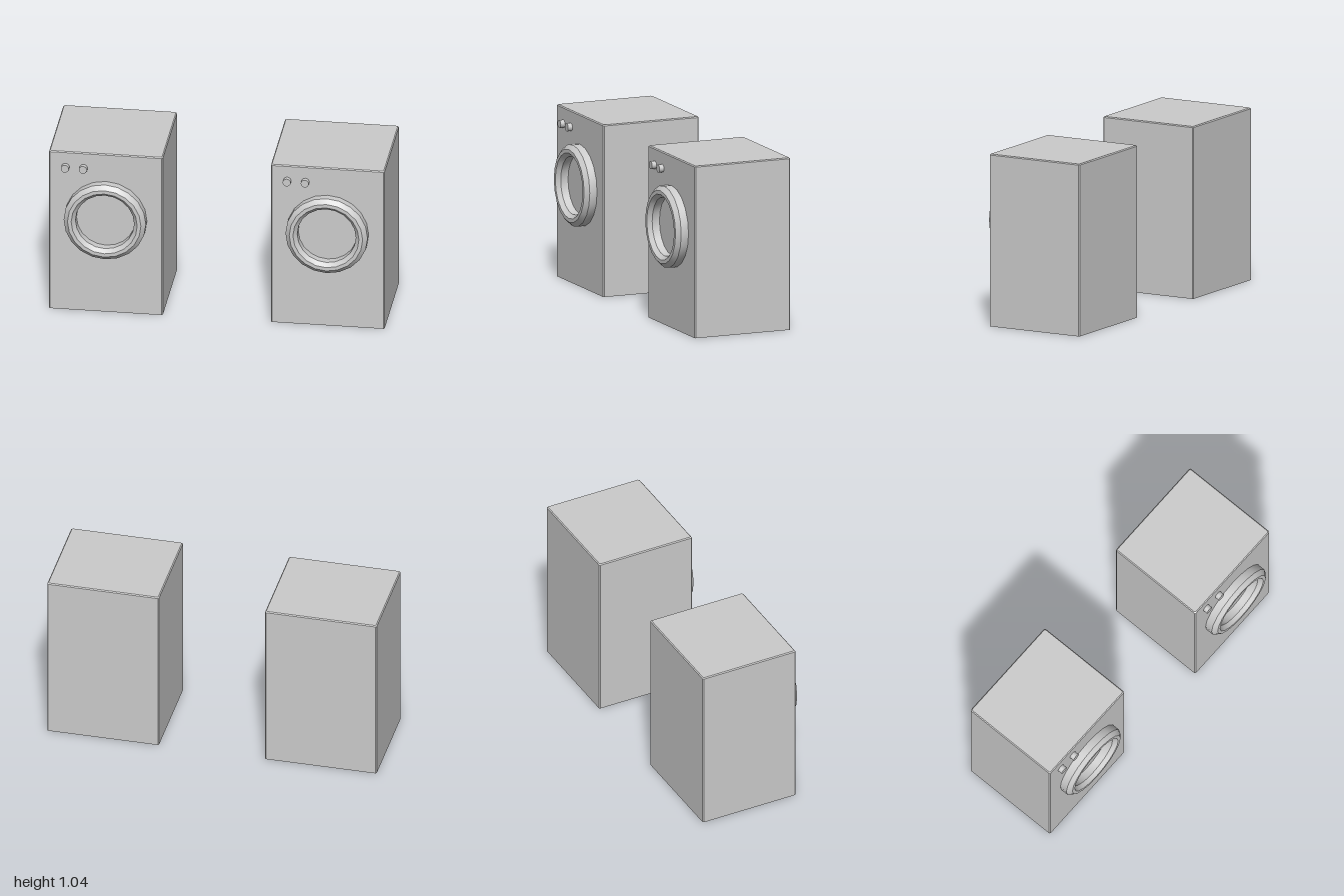
import * as THREE from 'three';
import { toCreasedNormals } from 'three/addons/utils/BufferGeometryUtils.js';

const W = 0.678, H = 1.037, BACK = -0.345, FRONT = 0.273;
const BEVEL = 0.006, DOOR_Y = 0.613, DOOR_R = 0.245, SIDES = 20;

const material = new THREE.MeshStandardMaterial({ color: 0xcccccc, side: THREE.DoubleSide });

function part(name, geometry, parent) {
  const mesh = new THREE.Mesh(geometry, material);
  mesh.name = name;
  parent.add(mesh);
  return mesh;
}

// Rectangle with cut corners at height y, counter-clockwise seen from above;
// the first side is the front one.
function section(y, inset) {
  const x = W / 2 - inset, f = FRONT - inset, b = BACK + inset, c = BEVEL;
  return [
    [-x + c, f], [x - c, f], [x, f - c], [x, b + c],
    [x - c, b], [-x + c, b], [-x, b + c], [-x, f - c],
  ].map(([px, pz]) => [px, y, pz]);
}

// Cabinet shell: open underneath, bevelled corners and top edge, front left out
function cabinetGeometry() {
  const rings = [section(0, 0), section(H - BEVEL, 0), section(H, BEVEL)];
  const points = [];
  for (let r = 0; r < 2; r++) {
    for (let i = 0; i < 8; i++) {
      if (r === 0 && i === 0) continue;
      const j = (i + 1) % 8;
      const a = rings[r][i], b = rings[r][j], c = rings[r + 1][j], d = rings[r + 1][i];
      points.push(a, b, c, a, c, d);
    }
  }
  const top = rings[2];
  for (let i = 1; i < 7; i++) points.push(top[0], top[i], top[i + 1]);
  const geometry = new THREE.BufferGeometry();
  geometry.setAttribute('position', new THREE.Float32BufferAttribute(points.flat(), 3));
  geometry.computeVertexNormals();
  return geometry;
}

// Front panel with a round door opening
function frontGeometry() {
  const x = W / 2 - BEVEL, y = H - BEVEL;
  const shape = new THREE.Shape([[-x, 0], [x, 0], [x, y], [-x, y]].map(p => new THREE.Vector2(...p)));
  const hole = [];
  for (let i = 0; i < SIDES; i++) {
    const a = -i / SIDES * Math.PI * 2;
    hole.push(new THREE.Vector2(DOOR_R * Math.cos(a), DOOR_Y + DOOR_R * Math.sin(a)));
  }
  shape.holes.push(new THREE.Path(hole));
  return new THREE.ShapeGeometry(shape).translate(0, 0, FRONT);
}

// Door ring: bevelled on its outer and inner rims
function doorRingGeometry() {
  const profile = [
    [DOOR_R, 0], [DOOR_R, 0.047], [0.219, 0.072], [0.197, 0.072], [0.175, 0.047], [0.175, 0],
  ].map(p => new THREE.Vector2(...p));
  const lathe = new THREE.LatheGeometry(profile, SIDES).rotateX(Math.PI / 2);
  return toCreasedNormals(lathe, 0.5);
}

function createMachine() {
  const machine = new THREE.Group();
  machine.name = 'washingMachine';
  part('cabinet', cabinetGeometry(), machine);
  part('frontPanel', frontGeometry(), machine);

  const door = new THREE.Group();
  door.name = 'door';
  door.position.set(0, DOOR_Y, FRONT);
  machine.add(door);
  part('doorRing', doorRingGeometry(), door);
  part('doorGlass', new THREE.CircleGeometry(0.175, SIDES), door);

  // Two control knobs at the upper corner
  for (const x of [-0.241, -0.133]) {
    const knob = part('knob', new THREE.CylinderGeometry(0.024, 0.024, 0.028, 16).rotateX(Math.PI / 2), machine);
    knob.position.set(x, 0.937, FRONT + 0.014);
  }
  return machine;
}

export function createModel() {
  const model = new THREE.Group();
  model.name = 'washingMachines';
  for (const side of [-1, 1]) {
    const machine = createMachine();
    machine.position.x = side * (1 - W / 2);
    model.add(machine);
  }
  return model;
}
